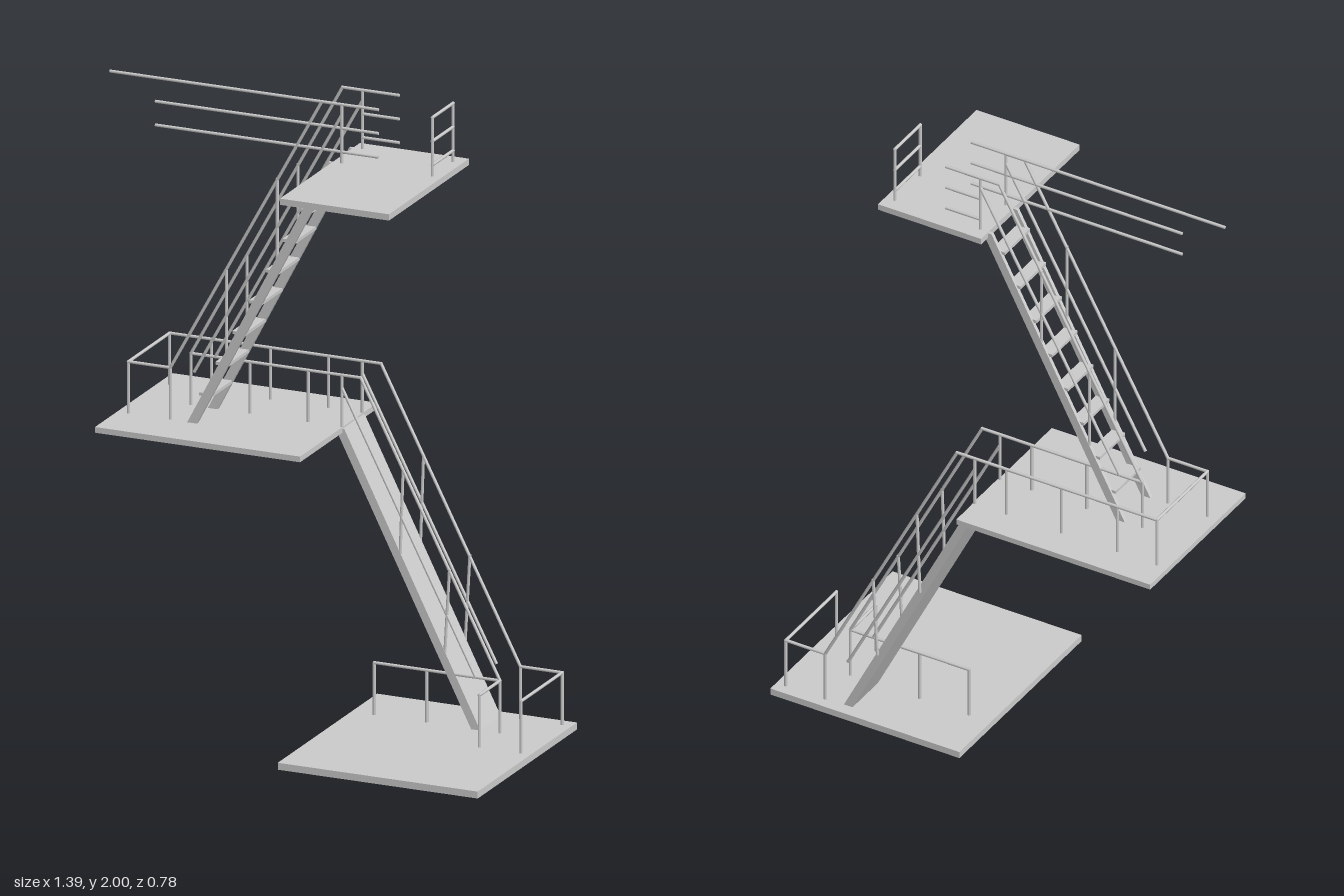
import * as THREE from 'three';

const material = new THREE.MeshStandardMaterial({ color: 0xcccccc });
const R = 0.005;
const OUT = 0.005, MID = -0.145, BACK = -0.293; // z of the three rail planes

function add(group, name, geometry) {
  const mesh = new THREE.Mesh(geometry, material);
  mesh.name = name;
  group.add(mesh);
  return mesh;
}

// Round bar between two points
function bar(group, name, a, b) {
  const p = new THREE.Vector3(...a), q = new THREE.Vector3(...b);
  const dir = q.clone().sub(p);
  const mesh = add(group, name, new THREE.CylinderGeometry(R, R, dir.length() + R, 8));
  mesh.position.copy(p).add(q).multiplyScalar(0.5);
  mesh.quaternion.setFromUnitVectors(new THREE.Vector3(0, 1, 0), dir.normalize());
}

// Chain of bars through a list of points
function rail(group, name, points) {
  for (let i = 1; i < points.length; i++) bar(group, name, points[i - 1], points[i]);
}

// Upright between two heights
function post(group, x, z, y0, y1) {
  bar(group, 'post', [x, y0, z], [x, y1, z]);
}

// Box given by its extents
function box(group, name, x0, x1, y0, y1, z0, z1) {
  const mesh = add(group, name, new THREE.BoxGeometry(x1 - x0, y1 - y0, z1 - z0));
  mesh.position.set((x0 + x1) / 2, (y0 + y1) / 2, (z0 + z1) / 2);
}

// Sloping slab with level ends, w is its horizontal width
function slope(group, name, x0, y0, x1, y1, w, z0, z1) {
  const shape = new THREE.Shape([[x0, y0], [x0 + w, y0], [x1 + w, y1], [x1, y1]]
    .map(([x, y]) => new THREE.Vector2(x, y)));
  const geometry = new THREE.ExtrudeGeometry(shape, { depth: z1 - z0, bevelEnabled: false });
  add(group, name, geometry.translate(0, 0, z0));
}

function section(root, name) {
  const group = new THREE.Group();
  group.name = name;
  root.add(group);
  return group;
}

export function createModel() {
  const root = new THREE.Group();
  root.name = 'stairTower';

  // Platforms
  const platforms = section(root, 'platforms');
  box(platforms, 'lowerPlatform', 0.03, 0.69, 0, 0.022, -0.33, 0.39);
  box(platforms, 'middlePlatform', -0.675, 0.002, 0.902, 0.92, -0.395, 0.167);
  box(platforms, 'upperPlatform', 0.037, 0.397, 1.79, 1.81, -0.19, 0.39);

  // Lower ramp with its handrails
  const ramp = section(root, 'lowerRamp');
  slope(ramp, 'rampSlab', 0.428, 0.02, -0.022, 0.915, 0.03, -0.29, -0.14);
  for (const z of [MID, BACK]) {
    bar(ramp, 'handrail', [0.06, 1.083, z], [0.52, 0.187, z]);
    bar(ramp, 'middleRail', [0, 1.04, z], [0.44, 0.187, z]);
    bar(ramp, 'post', [0.19, 0.53, z], [0.2, 0.81, z]);
    bar(ramp, 'post', [0.338, 0.25, z], [0.353, 0.515, z]);
  }

  // Railings of the lower platform
  const low = section(root, 'lowerRailing');
  const yl = 0.187;
  rail(low, 'topRail', [[0.52, yl, BACK], [0.658, yl, BACK], [0.658, yl, OUT]]);
  rail(low, 'topRail', [[0.105, yl, MID], [0.52, yl, MID], [0.52, yl, OUT]]);
  for (const [x, z] of [[0.52, BACK], [0.658, BACK], [0.658, OUT],
    [0.105, MID], [0.278, MID], [0.52, MID], [0.52, OUT]]) post(low, x, z, 0.02, yl);

  // Railings of the middle platform
  const mid = section(root, 'middleRailing');
  const ym = 1.083;
  rail(mid, 'topRail', [[-0.5, ym, OUT], [-0.638, ym, OUT], [-0.638, ym, BACK], [0.06, ym, BACK]]);
  rail(mid, 'topRail', [[-0.5, ym, MID], [0.06, ym, MID]]);
  for (const z of [MID, BACK])
    for (const x of [-0.5, -0.305, -0.113, -0.002]) post(mid, x, z, 0.915, ym);
  post(mid, -0.638, BACK, 0.915, ym);
  for (const x of [-0.638, -0.5]) post(mid, x, OUT, 0.915, ym);

  // Steep upper stair: stringers, treads and handrails
  const stair = section(root, 'upperStair');
  const top = 1.995;
  for (const z of [OUT, MID]) {
    slope(stair, 'stringer', -0.447, 0.91, 0.024, 1.808, 0.032, z - 0.006, z + 0.006);
    rail(stair, 'handrail', [[-0.5, ym, z], [0, top, z], [0.185, top, z]]);
    bar(stair, 'middleRail', [-0.42, ym, z], [0.065, 1.96, z]);
    post(stair, -0.315, z, 1.12, 1.42);
    post(stair, -0.147, z, 1.44, 1.73);
    post(stair, 0.066, z, 1.805, top);
  }
  for (let i = 0; i < 8; i++) {
    const x = -0.406 + i * 0.0553, y = 1.013 + i * 0.105;
    box(stair, 'tread', x, x + 0.044, y - 0.005, y + 0.005, MID, OUT);
  }

  // Level rails beside the upper platform, long on the open side
  const high = section(root, 'upperRailing');
  bar(high, 'topRail', [-0.697, top, OUT], [0, top, OUT]);
  for (const y of [1.92, 1.845]) {
    bar(high, 'longRail', [-0.547, y, OUT], [0.185, y, OUT]);
    bar(high, 'shortRail', [0.066, y, MID], [0.185, y, MID]);
  }

  // Small end guard on the upper platform
  const guard = section(root, 'endGuard');
  for (const z of [OUT, MID]) post(guard, 0.365, z, 1.805, top);
  for (const y of [1.845, 1.92, top]) bar(guard, 'crossBar', [0.365, y, MID], [0.365, y, OUT]);

  return root;
}
